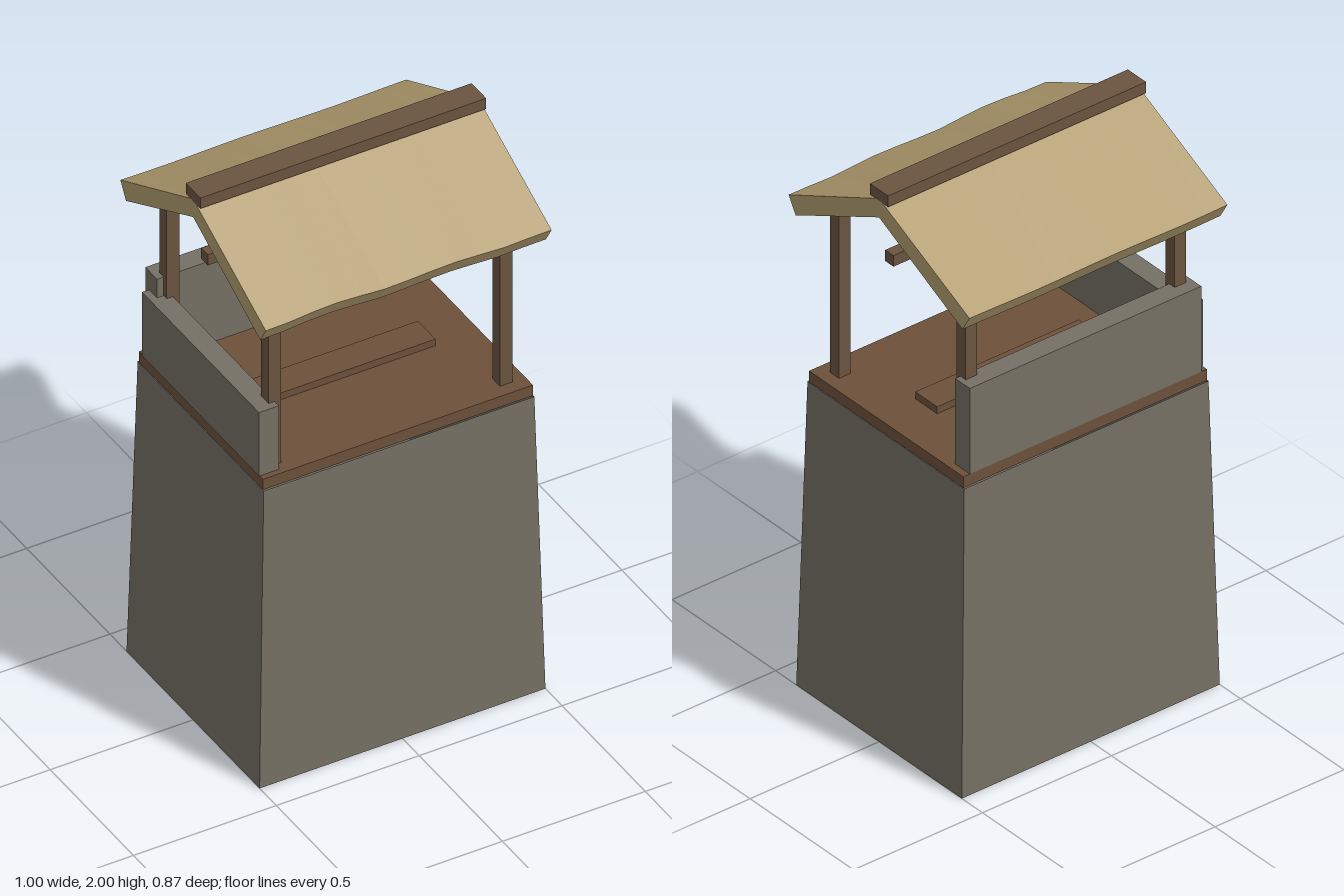
import * as THREE from 'three';

export function createModel() {
  const model = new THREE.Group();
  model.name = 'watchtower';

  const material = (name, color, side = THREE.FrontSide) => {
    const m = new THREE.MeshStandardMaterial({ color, side });
    m.name = name;
    return m;
  };
  const stone = material('stone', 0x757064, THREE.DoubleSide);
  const timber = material('timber', 0x6b5440);
  const planks = material('planks', 0x6d503b);
  const thatch = material('thatch', 0xb09b6e);

  const add = (name, geometry, mat) => {
    const mesh = new THREE.Mesh(geometry, mat);
    mesh.name = name;
    model.add(mesh);
    return mesh;
  };
  // Box given by its lower and upper limits on each axis
  const box = (name, mat, [x0, x1], [y0, y1], [z0, z1]) => {
    const g = new THREE.BoxGeometry(x1 - x0, y1 - y0, z1 - z0);
    return add(name, g.translate((x0 + x1) / 2, (y0 + y1) / 2, (z0 + z1) / 2), mat);
  };

  // Hollow tapered tower, open underneath
  const tower = new THREE.CylinderGeometry(0.947 * Math.SQRT2, Math.SQRT2, 1.1, 4, 1, true)
    .rotateY(Math.PI / 4)
    .scale(0.5, 1, 0.4)
    .translate(0, 0.55, 0)
    .toNonIndexed();
  tower.computeVertexNormals();
  add('towerBase', tower, stone);

  // Floor and the low plank in its middle
  box('platform', planks, [-0.472, 0.472], [1.1, 1.14], [-0.373, 0.373]);
  box('floorPlank', planks, [-0.317, 0.317], [1.14, 1.165], [-0.053, 0.053]);

  // Parapet on the back and one side
  box('backWall', stone, [-0.45, 0.447], [1.14, 1.45], [-0.373, -0.302]);
  box('sideWall', stone, [-0.475, -0.405], [1.14, 1.38], [-0.35, 0.353]);

  // Corner posts
  for (const x of [-0.405, 0.405]) {
    for (const z of [-0.306, 0.306]) {
      box('post', timber, [x - 0.022, x + 0.022], [1.14, 1.755], [z - 0.022, z + 0.022]);
    }
  }

  // Beams under and over the ridge
  box('hangingBeam', timber, [-0.46, 0.46], [1.715, 1.755], [-0.02, 0.02]);
  box('ridgeBeam', timber, [-0.5, 0.5], [1.96, 2.0], [-0.044, 0.044]);

  // Gable roof: chevron section pushed along x, with uneven eaves
  const section = new THREE.Shape([
    [0, 1.968], [-0.437, 1.757], [-0.403, 1.7], [0, 1.9], [0.403, 1.7], [0.437, 1.757],
  ].map(([z, y]) => new THREE.Vector2(z, y)));
  const steps = 12;
  const roof = new THREE.ExtrudeGeometry(section, { depth: 1, steps, bevelEnabled: false })
    .rotateY(Math.PI / 2)
    .translate(-0.5, 0, 0);
  const frontSag = [-4, -2, 5, 8, 3, -3, -1, 3, 5, 1, -4, -1, 0];
  const p = roof.attributes.position;
  for (let i = 0; i < p.count; i++) {
    const z = p.getZ(i);
    const column = Math.round((p.getX(i) + 0.5) * steps);
    const sag = z > 0 ? frontSag[column] : -2 * Math.sin(column * 0.9);
    p.setY(i, p.getY(i) + 0.001 * sag * Math.abs(z) / 0.437);
  }
  roof.computeVertexNormals();
  add('roof', roof, thatch);

  return model;
}
